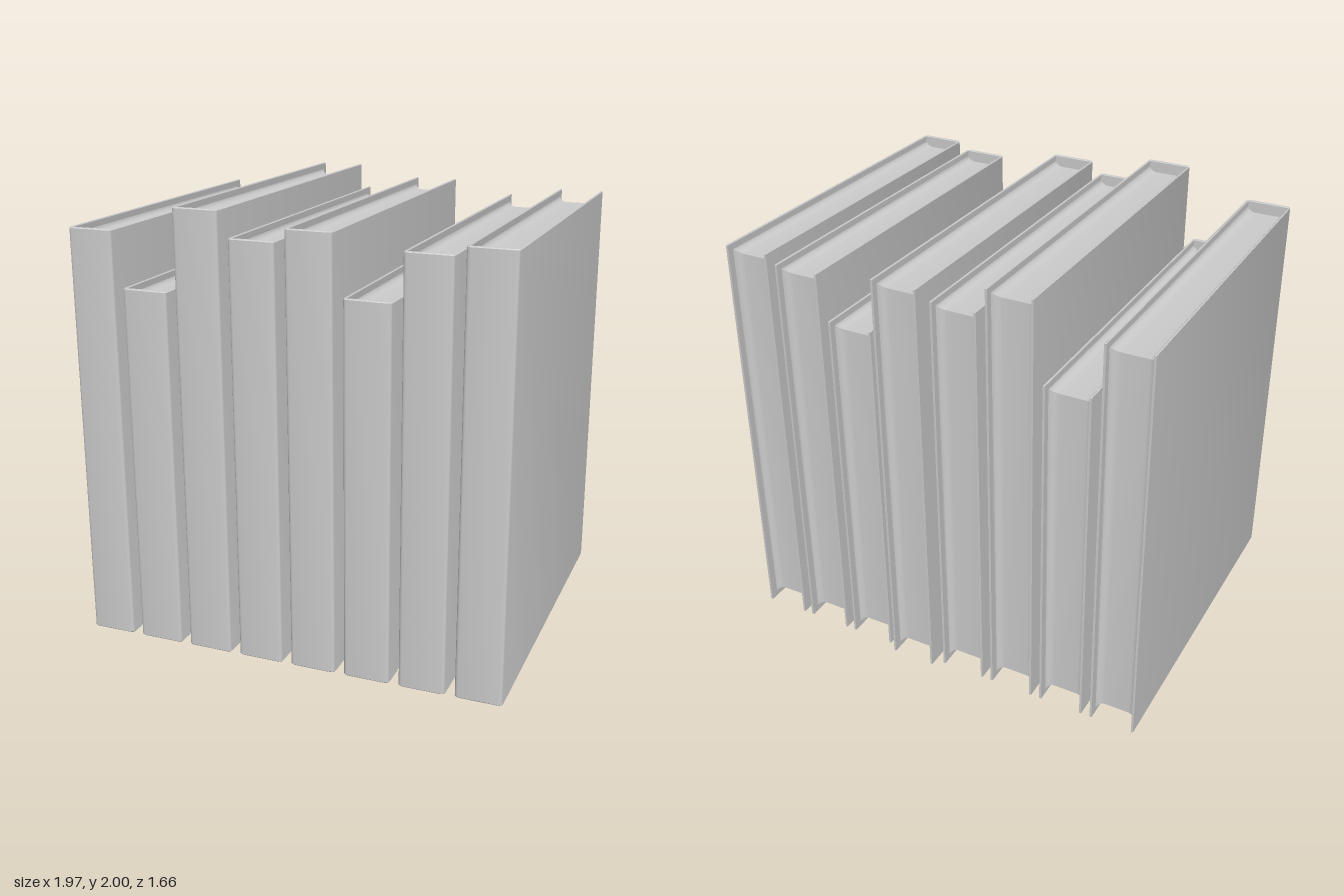
import * as THREE from 'three';
import { toCreasedNormals } from 'three/addons/utils/BufferGeometryUtils.js';

const HALF = 0.105;   // half thickness of a book
const FRONT = 0.83;   // z of the spines
const WALL = 0.01;    // cover board thickness
const SPINE = 0.015;  // spine thickness
const BEVEL = 0.004;

const paper = new THREE.MeshStandardMaterial({ color: 0xcccccc });
paper.name = 'light grey';

// U-shaped cover: two boards joined by a spine with rounded corners
function coverGeometry(height, back) {
  const r = 0.018;
  const w = HALF - WALL;
  const s = new THREE.Shape();
  s.moveTo(-HALF, -back);
  s.lineTo(-HALF, -FRONT + r);
  s.quadraticCurveTo(-HALF, -FRONT + 0.003, -HALF + r, -FRONT);
  s.lineTo(HALF - r, -FRONT);
  s.quadraticCurveTo(HALF, -FRONT + 0.003, HALF, -FRONT + r);
  s.lineTo(HALF, -back);
  s.lineTo(w, -back);
  s.lineTo(w, -FRONT + SPINE);
  s.lineTo(-w, -FRONT + SPINE);
  s.lineTo(-w, -back);
  s.closePath();
  const g = new THREE.ExtrudeGeometry(s, {
    depth: height - 2 * BEVEL, curveSegments: 4,
    bevelEnabled: true, bevelThickness: BEVEL, bevelSize: BEVEL, bevelOffset: -BEVEL, bevelSegments: 1,
  });
  g.rotateX(-Math.PI / 2);
  g.translate(0, BEVEL, 0);
  return toCreasedNormals(g, 0.6);
}

// Page block: a hollowed groove runs along the bottom, fore edge and top
function pagesGeometry(height, back) {
  const w = HALF - WALL + 0.003;
  const flat = 0.058;
  const columns = [];
  for (let i = 0; i <= 6; i++) {
    const a = (i / 6) * Math.PI / 2;
    columns.push([-w + (w - flat) * (1 - Math.cos(a)), 0.018 + 0.037 * Math.sin(a)]);
  }
  columns.push(...columns.map(([x, d]) => [-x, d]).reverse());
  const loops = columns.map(([x, d]) => [
    [x, d, FRONT - SPINE + 0.003], [x, d, back + d],
    [x, height - d, back + d], [x, height - d, FRONT - SPINE + 0.003],
  ]);
  const pos = [];
  for (let i = 0; i < loops.length - 1; i++) {
    const a = loops[i], b = loops[i + 1];
    for (let k = 0; k < 3; k++) {
      pos.push(...a[k], ...a[k + 1], ...b[k], ...b[k], ...a[k + 1], ...b[k + 1]);
    }
  }
  const g = new THREE.BufferGeometry();
  g.setAttribute('position', new THREE.Float32BufferAttribute(pos, 3));
  return toCreasedNormals(g, 0.6);
}

export function createModel() {
  const model = new THREE.Group();
  model.name = 'bookRow';
  const heights = [1.887, 1.64, 2, 1.887, 1.943, 1.68, 1.887, 1.925];
  heights.forEach((height, i) => {
    const back = i === 4 ? -0.835 : -0.8;
    const book = new THREE.Group();
    book.name = `book${i + 1}`;
    const cover = new THREE.Mesh(coverGeometry(height, back), paper);
    cover.name = 'cover';
    const pages = new THREE.Mesh(pagesGeometry(height, back), paper);
    pages.name = 'pages';
    book.add(cover, pages);
    book.position.x = (i - 3.5) * 0.2515;
    model.add(book);
  });
  return model;
}
